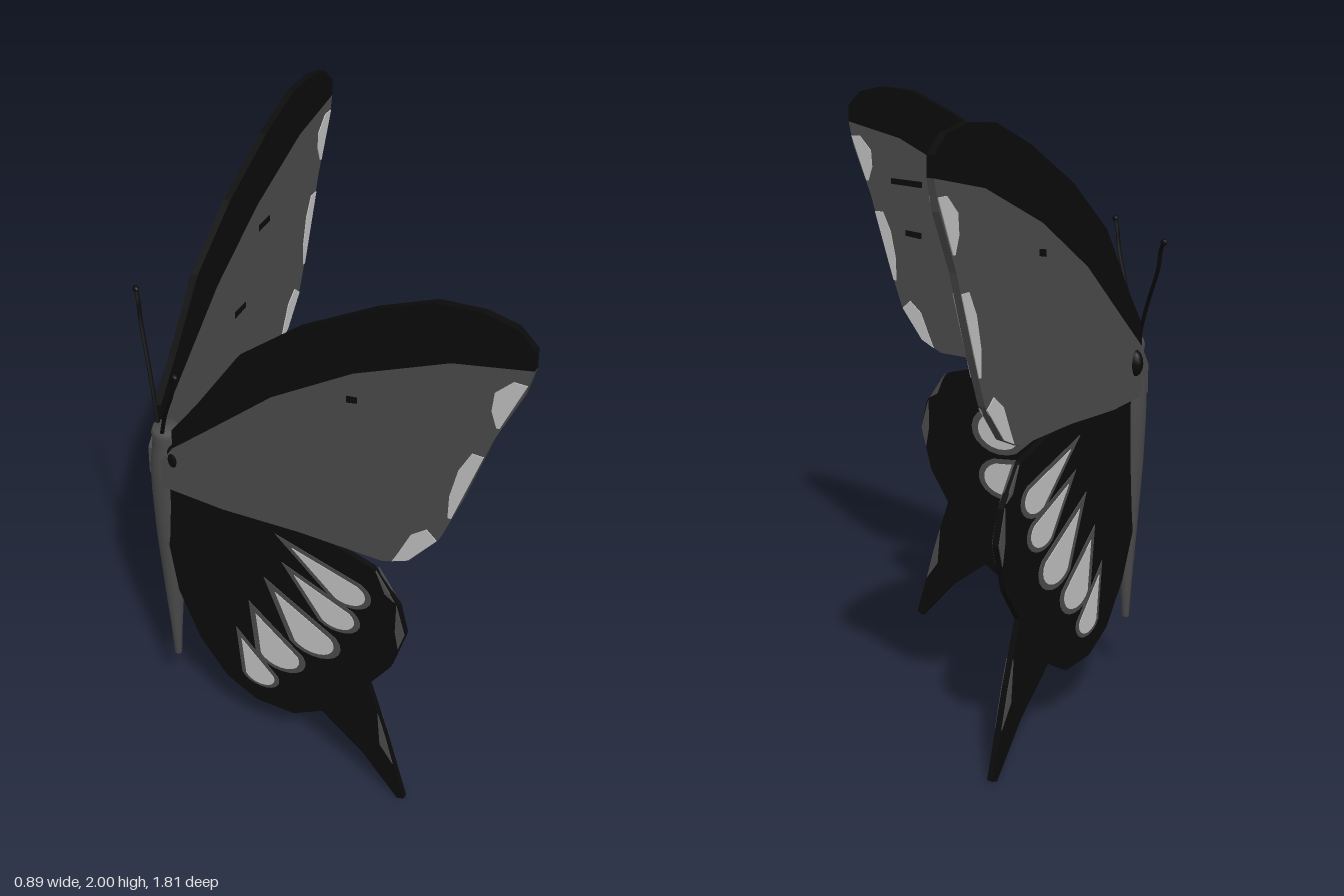
import * as THREE from 'three';

const mat = (name, color) => {
  const m = new THREE.MeshStandardMaterial({ color });
  m.name = name;
  return m;
};

// Wing outlines: [distance out from the body, height]
const LEAD = [[0.07, 1.27], [0.14, 1.40], [0.247, 1.62], [0.395, 1.785], [0.565, 1.918], [0.69, 1.99],
  [0.788, 2.0], [0.857, 1.98], [0.896, 1.93], [0.898, 1.87]];
const BAND = [[0.898, 1.87], [0.73, 1.82], [0.52, 1.69], [0.33, 1.52], [0.16, 1.31], [0.07, 1.2]];
const TRAIL = [[0.035, 1.13], [0.035, 1.03], [0.2, 1.025], [0.4, 1.045], [0.607, 1.05], [0.67, 1.09],
  [0.735, 1.21], [0.777, 1.37], [0.83, 1.61], [0.883, 1.78]];
const HIND = [[0.04, 1.03], [0.19, 1.064], [0.406, 1.048], [0.576, 0.984], [0.645, 0.867], [0.666, 0.76],
  [0.634, 0.6], [0.58, 0.485], [0.63, 0.284], [0.69, 0.01], [0.672, 0], [0.575, 0.15], [0.459, 0.273],
  [0.379, 0.204], [0.273, 0.2], [0.19, 0.257], [0.114, 0.39], [0.056, 0.576], [0.035, 0.76]];

// Markings
const MARGIN_SPOTS = [
  [[0.889, 1.82], [0.86, 1.82], [0.825, 1.77], [0.822, 1.71], [0.835, 1.66], [0.842, 1.66]],
  [[0.816, 1.55], [0.79, 1.55], [0.765, 1.48], [0.75, 1.38], [0.75, 1.3], [0.758, 1.3]],
  [[0.73, 1.2], [0.705, 1.23], [0.67, 1.19], [0.645, 1.11], [0.63, 1.065], [0.668, 1.09]],
];
const HIND_EDGES = [
  [[0.64, 0.87], [0.664, 0.76], [0.65, 0.69], [0.64, 0.76]],
  [[0.585, 0.98], [0.635, 0.88], [0.61, 0.9]],
  [[0.608, 0.37], [0.63, 0.28], [0.655, 0.16], [0.618, 0.23]],
];
// Drops: [tip x, tip y, blunt centre x, blunt centre y, radius]
const OUTER_DROPS = [[0.36, 0.96, 0.515, 0.85, 0.052], [0.37, 0.85, 0.49, 0.73, 0.052],
  [0.32, 0.75, 0.43, 0.59, 0.062], [0.27, 0.62, 0.34, 0.46, 0.06], [0.23, 0.48, 0.285, 0.33, 0.045]];
const INNER_DROPS = {
  1: [[0.2, 0.94, 0.41, 0.80, 0.075], [0.21, 0.71, 0.4, 0.62, 0.065], [0.2, 0.56, 0.32, 0.42, 0.075]],
  [-1]: [[0.35, 0.87, 0.49, 0.75, 0.065], [0.3, 0.72, 0.43, 0.60, 0.065], [0.26, 0.58, 0.38, 0.38, 0.08]],
};
const DASHES = { 1: [[0.71, 1.66, 0.05], [0.69, 1.475, 0.025], [0.47, 1.085, 0.06]], [-1]: [[0.55, 1.6, 0.025], [0.43, 1.35, 0.025]] };

// Teardrop outline: a half circle drawn out to a tip
function drop([tx, ty, cx, cy, r], grow = 1) {
  const a = Math.atan2(ty - cy, tx - cx), pts = [];
  for (let i = 0; i <= 10; i++) {
    const t = a + Math.PI / 2 + (i / 10) * Math.PI;
    pts.push([cx + Math.cos(t) * r * grow, cy + Math.sin(t) * r * grow]);
  }
  pts.push([cx + (tx - cx) * grow, cy + (ty - cy) * grow]);
  return pts;
}

export function createModel() {
  const black = mat('black', 0x0b0b0b);
  const grey = mat('dark grey', 0x4a4a4a);
  const light = mat('light grey', 0xc0c0c0);
  const model = new THREE.Group();
  model.name = 'butterfly';

  const add = (parent, name, geo, material, x = 0, y = 0, z = 0) => {
    const m = new THREE.Mesh(geo, material);
    m.name = name;
    m.position.set(x, y, z);
    parent.add(m);
    return m;
  };

  // side +1 is the wing toward +z, -1 the one toward -z
  function makeWing(side, pivotX, angle, stretch) {
    const wing = new THREE.Group();
    wing.name = side > 0 ? 'frontWing' : 'backWing';
    wing.position.x = pivotX;
    wing.rotation.y = angle;
    model.add(wing);
    const plate = (name, pts, material, z, depth) => {
      const shape = new THREE.Shape(pts.map(([w, y]) => new THREE.Vector2(w * stretch, y)));
      const geo = new THREE.ExtrudeGeometry(shape, { depth, bevelEnabled: false });
      add(wing, name, geo, material, 0, 0, z - depth / 2);
    };

    // Fore wing in front, hind wing tucked against its inner face
    plate('foreWingBand', [...LEAD, ...BAND.slice(1)], black, 0, 0.024);
    plate('foreWingPanel', [...BAND.slice().reverse().slice(0, -1), BAND[0], ...TRAIL.slice().reverse()], grey, 0, 0.024);
    plate('hindWing', HIND, black, -side * 0.021, 0.02);

    for (const outer of [true, false]) {
      const o = outer ? side : -side;
      const foreZ = o * 0.012, hindZ = -side * 0.021 + o * 0.01;
      for (const pts of MARGIN_SPOTS) plate('marginSpot', pts, light, foreZ, 0.006);
      for (const pts of HIND_EDGES) plate('hindEdgeMark', pts, grey, hindZ, 0.006);
      for (const d of outer ? OUTER_DROPS : INNER_DROPS[side]) {
        plate('dropRim', drop(d, 1.2), grey, hindZ, 0.005);
        plate('dropSpot', drop(d, 0.92), light, hindZ, 0.009);
      }
      const dashes = outer ? [[0.52, 1.6, 0.012]] : DASHES[side];
      for (const [x, y, h] of dashes) {
        plate('dash', [[x - h, y - 0.012], [x + h, y - 0.005], [x + h, y + 0.015], [x - h, y + 0.01]], black, foreZ, 0.006);
      }
    }
  }
  makeWing(1, -0.446, -0.806, 1 / 0.721);
  makeWing(-1, -0.468, 0.781, 1 / 0.704);

  // Body: slim tapering abdomen with a blunt head
  const profile = [[0, 0.22], [0.014, 0.22], [0.022, 0.35], [0.038, 0.55], [0.055, 0.78], [0.062, 0.95],
    [0.062, 1.06], [0.054, 1.13], [0.048, 1.17], [0.053, 1.195], [0.046, 1.215], [0, 1.22]];
  const body = add(model, 'body', new THREE.LatheGeometry(profile.map(([r, y]) => new THREE.Vector2(r, y)), 20),
    grey, -0.385, 0, -0.022);
  body.scale.x = 0.9;

  // Antennae and wing joints, mirrored about the body
  for (const s of [1, -1]) {
    const path = [[0.022, 1.2], [0.07, 1.29], [0.125, 1.37], [0.215, 1.49], [0.235, 1.55], [0.265, 1.58]]
      .map(([z, y]) => new THREE.Vector3(-0.403, y, -0.022 + s * z));
    add(model, 'antenna', new THREE.TubeGeometry(new THREE.CatmullRomCurve3(path), 24, 0.007, 6), black);
    const club = add(model, 'antennaClub', new THREE.SphereGeometry(0.011, 8, 6), black, -0.403, 1.578, -0.022 + s * 0.262);
    club.scale.z = 1.3;
    const joint = add(model, 'wingJoint', new THREE.SphereGeometry(0.035, 12, 8), black, -0.375, 1.15, -0.022 + s * 0.08);
    joint.scale.set(0.8, 1.3, 0.9);
  }
  return model;
}
